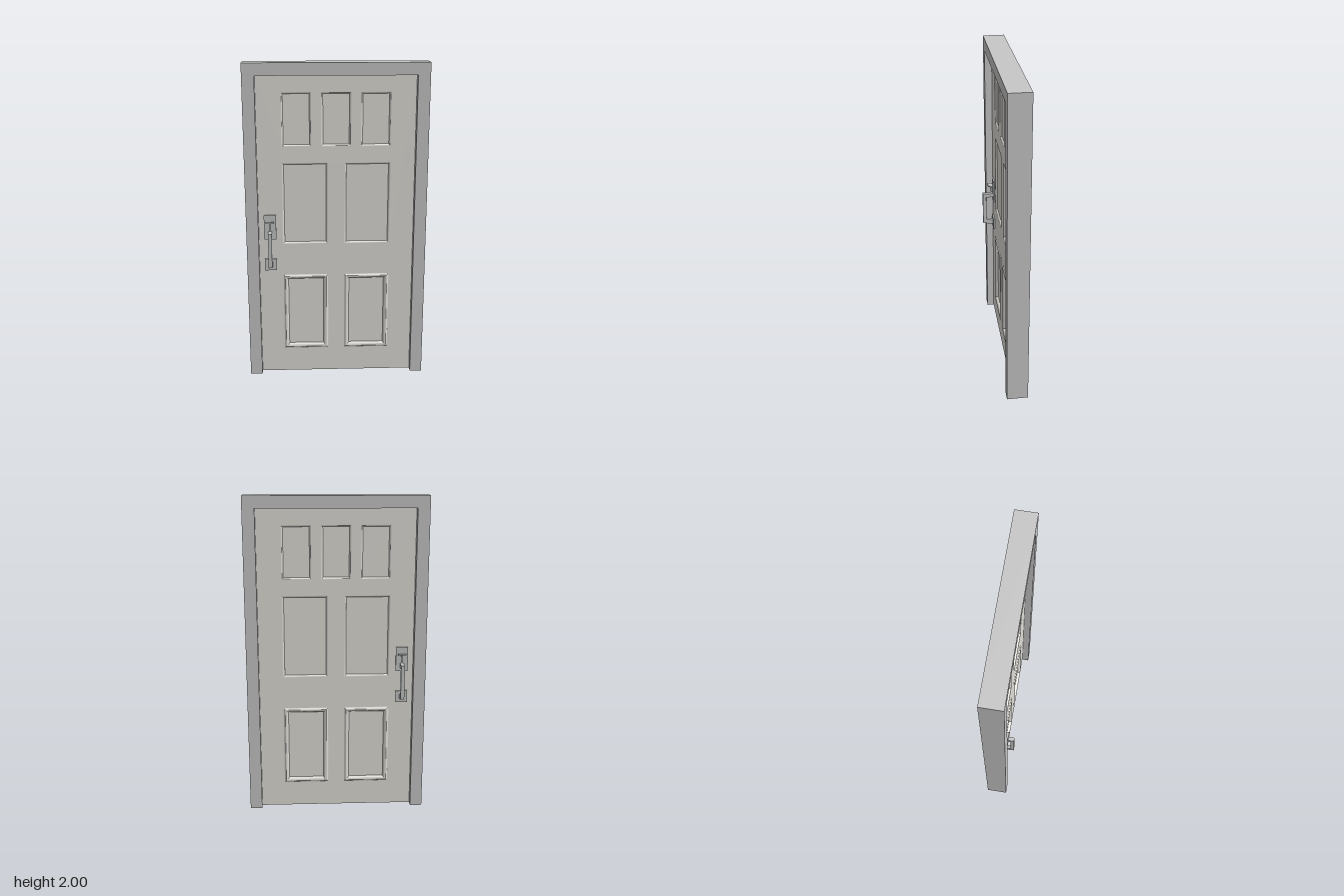
import * as THREE from 'three';
import { toCreasedNormals } from 'three/addons/utils/BufferGeometryUtils.js';

const HALF = 0.021; // half thickness of the door slab

// [centre x, centre y, width, height, raised moulding?]
const PANELS = [
  ...[-0.242, 0, 0.242].map(x => [x, 1.66, 0.184, 0.33, false]),
  ...[-0.193, 0.193].map(x => [x, 1.135, 0.284, 0.52, false]),
  ...[-0.193, 0.193].map(x => [x, 0.416, 0.284, 0.51, true]),
];

// Profiles as [inset, z], from the slab face down to the panel field
const STEPS = [0, 1, 2, 3, 4, 5, 6].map(i => i / 6);
const quarterRound = (inset, width, top, drop) => STEPS.map(t => [
  inset + width * Math.sin(t * Math.PI / 2),
  top - drop * (1 - Math.cos(t * Math.PI / 2)),
]);
const SUNK = quarterRound(0, 0.012, HALF, 0.012);
const RAISED = [
  ...STEPS.slice(0, -1).map(t => [0.012 * t, HALF + 0.004 * (1 - Math.cos(t * Math.PI))]),
  ...quarterRound(0.012, 0.019, HALF + 0.008, 0.02),
];

function rectPath(path, x0, y0, x1, y1) {
  path.moveTo(x0, y0);
  path.lineTo(x1, y0);
  path.lineTo(x1, y1);
  path.lineTo(x0, y1);
  path.closePath();
  return path;
}

// Mitred rectangular moulding with a flat field in the middle
function panelGeometry(w, h, profile) {
  const pos = [];
  const ring = ([d, z]) => [[-1, -1], [1, -1], [1, 1], [-1, 1]]
    .map(([sx, sy]) => [sx * (w / 2 - d), sy * (h / 2 - d), z]);
  const quad = (a, b, c, d) => pos.push(...a, ...b, ...c, ...a, ...c, ...d);
  for (let i = 0; i < profile.length - 1; i++) {
    const o = ring(profile[i]), n = ring(profile[i + 1]);
    for (let k = 0; k < 4; k++) {
      const m = (k + 1) % 4;
      quad(o[k], o[m], n[m], n[k]);
    }
  }
  quad(...ring(profile[profile.length - 1]));
  const g = new THREE.BufferGeometry();
  g.setAttribute('position', new THREE.Float32BufferAttribute(pos, 3));
  return toCreasedNormals(g, 0.6);
}

function addMesh(parent, name, geometry, material, x = 0, y = 0, z = 0) {
  const mesh = new THREE.Mesh(geometry, material);
  mesh.name = name;
  mesh.position.set(x, y, z);
  parent.add(mesh);
  return mesh;
}

// Pull handle, centred on x = 0, standing out from z = HALF
function buildHandle(metal) {
  const handle = new THREE.Group();
  const box = (name, w, h, d, y, z) =>
    addMesh(handle, name, new THREE.BoxGeometry(w, h, d), metal, 0, y, z);

  box('upperPlate', 0.076, 0.155, 0.01, 0.987, HALF + 0.005);
  box('lowerPlate', 0.076, 0.075, 0.01, 0.742, HALF + 0.005);

  // Thumb latch above the grip
  const latch = box('thumbLatch', 0.05, 0.008, 0.032, 1.021, 0.048);
  latch.rotation.x = -0.2;
  box('latchStem', 0.012, 0.045, 0.014, 0.995, 0.036);

  // C-shaped grip: side profile drawn as (z, y), extruded across x
  const s = new THREE.Shape();
  [[0.025, 0.962], [0.098, 0.962], [0.098, 0.742], [0.025, 0.728],
    [0.025, 0.758], [0.076, 0.769], [0.076, 0.936], [0.025, 0.936]]
    .forEach(([z, y], i) => (i ? s.lineTo(z, y) : s.moveTo(z, y)));
  const grip = new THREE.ExtrudeGeometry(s, { depth: 0.023, bevelEnabled: false });
  grip.translate(0, 0, -0.0115);
  grip.rotateY(-Math.PI / 2);
  addMesh(handle, 'grip', grip, metal);
  return handle;
}

export function createModel() {
  const model = new THREE.Group();
  model.name = 'door';
  const mat = (name, color) => {
    const m = new THREE.MeshStandardMaterial({ color });
    m.name = name;
    return m;
  };
  const frameGrey = mat('frameGrey', 0xc7c7c7);
  const doorPaint = mat('doorPaint', 0xe0ded8);
  const metal = mat('handleMetal', 0xc4c5c6);

  // Frame: two jambs and a head
  const f = new THREE.Shape();
  [[-0.559, 0], [-0.484, 0], [-0.484, 1.925], [0.484, 1.925],
    [0.484, 0], [0.559, 0], [0.559, 2], [-0.559, 2]]
    .forEach(([x, y], i) => (i ? f.lineTo(x, y) : f.moveTo(x, y)));
  const frame = new THREE.ExtrudeGeometry(f, { depth: 0.133, bevelEnabled: false });
  addMesh(model, 'frame', frame, frameGrey, 0, 0, -0.0665);

  // Slab with openings for the panels
  const slabShape = rectPath(new THREE.Shape(), -0.484, 0, 0.484, 1.925);
  for (const [x, y, w, h] of PANELS) {
    slabShape.holes.push(rectPath(new THREE.Path(), x - w / 2, y - h / 2, x + w / 2, y + h / 2));
  }
  const slab = new THREE.ExtrudeGeometry(slabShape, { depth: 2 * HALF, bevelEnabled: false });
  addMesh(model, 'slab', slab, doorPaint, 0, 0, -HALF);

  // Panels and handle on both faces
  for (const side of ['front', 'back']) {
    const turn = side === 'front' ? 0 : Math.PI;
    const panels = new THREE.Group();
    panels.name = side + 'Panels';
    panels.rotation.y = turn;
    for (const [x, y, w, h, raised] of PANELS) {
      addMesh(panels, 'panel', panelGeometry(w, h, raised ? RAISED : SUNK), doorPaint, x, y, 0);
    }
    model.add(panels);

    const handle = buildHandle(metal);
    handle.name = side + 'Handle';
    handle.position.x = -0.413;
    handle.rotation.y = turn;
    model.add(handle);
  }
  return model;
}
